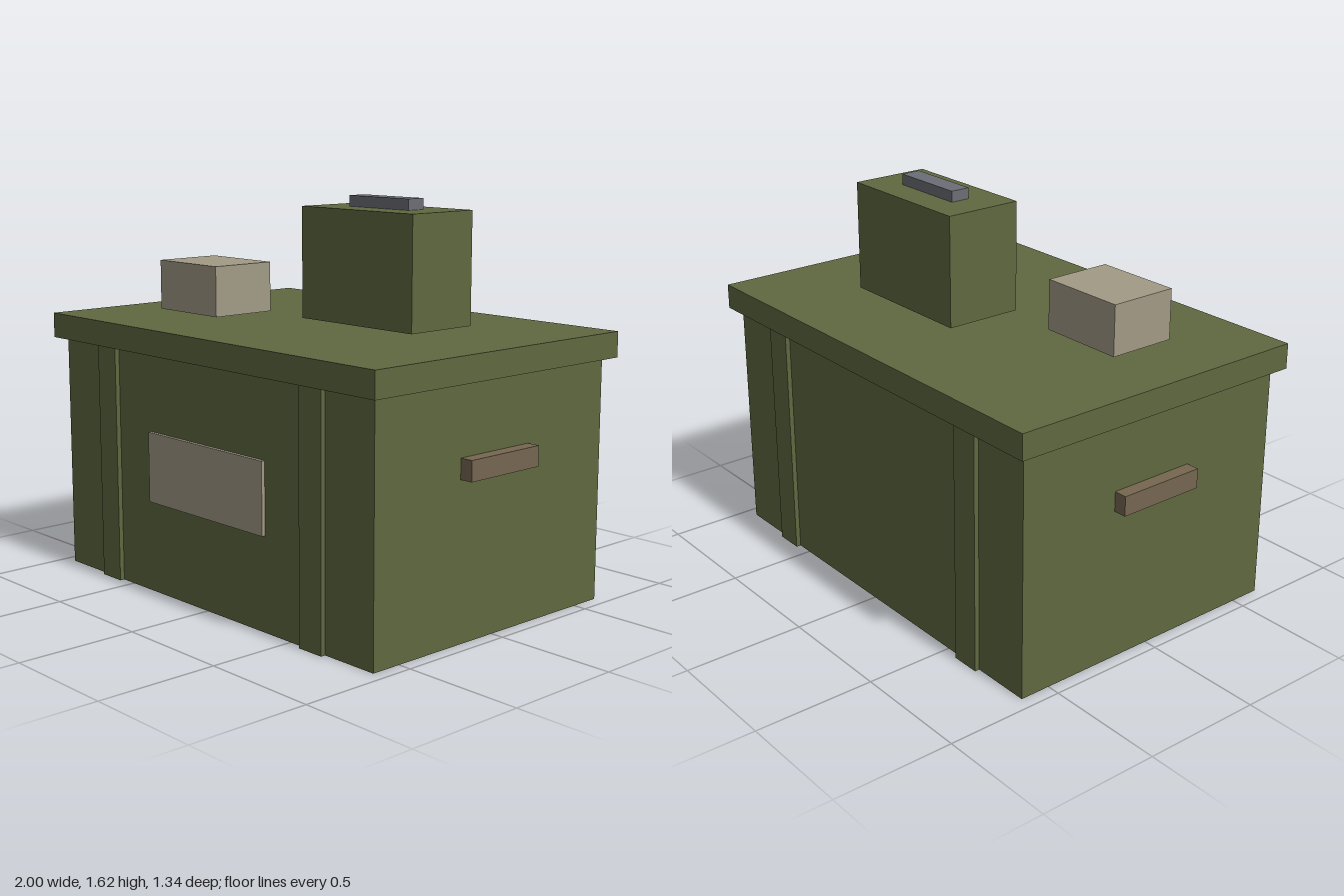
import * as THREE from 'three';

const material = (name, color) => {
  const m = new THREE.MeshStandardMaterial({ color });
  m.name = name;
  return m;
};

export function createModel() {
  const olive = material('olive green', 0x5f6840);
  const tan = material('pale tan', 0xa29a86);
  const brown = material('leather brown', 0x756650);
  const grey = material('steel grey', 0x6c6e75);

  const model = new THREE.Group();
  model.name = 'supplyCrate';

  // Box given by its [min, max] extent on each axis
  const box = (name, mat, [x0, x1], [y0, y1], [z0, z1], parent = model) => {
    const mesh = new THREE.Mesh(new THREE.BoxGeometry(x1 - x0, y1 - y0, z1 - z0), mat);
    mesh.position.set((x0 + x1) / 2, (y0 + y1) / 2, (z0 + z1) / 2);
    mesh.name = name;
    parent.add(mesh);
    return mesh;
  };

  // Crate body and overhanging lid
  box('crateBody', olive, [-0.945, 0.945], [0, 1.0], [-0.63, 0.63]);
  box('lid', olive, [-0.988, 0.988], [1.0, 1.105], [-0.672, 0.672]);

  // Upright battens on front and back, and a carrying handle on each end
  for (const side of [-1, 1]) {
    const prefix = side > 0 ? 'left' : 'right';
    for (const face of [-1, 1]) {
      const batten = box(prefix + (face > 0 ? 'Front' : 'Back') + 'Batten', olive,
        [-0.0605, 0.0605], [0, 1.0], [-0.01, 0.01]);
      batten.position.x = side * 0.631;
      batten.position.z = face * 0.64;
    }
    const handle = box(prefix + 'Handle', brown, [-0.0275, 0.0275], [0.635, 0.717], [-0.188, 0.188]);
    handle.position.x = side * 0.9725;
  }

  // Blank label on the front
  box('frontLabel', tan, [-0.356, 0.356], [0.384, 0.676], [0.63, 0.645]);

  // Carton on the lid
  box('carton', tan, [-0.695, -0.318], [1.12, 1.33], [0.02, 0.315]);

  // Canister with its grip
  const canister = new THREE.Group();
  canister.name = 'canister';
  model.add(canister);
  box('canisterBody', olive, [-0.065, 0.565], [1.12, 1.58], [-0.272, 0.063], canister);
  box('canisterGrip', grey, [0.083, 0.417], [1.58, 1.625], [-0.147, -0.063], canister);

  return model;
}
